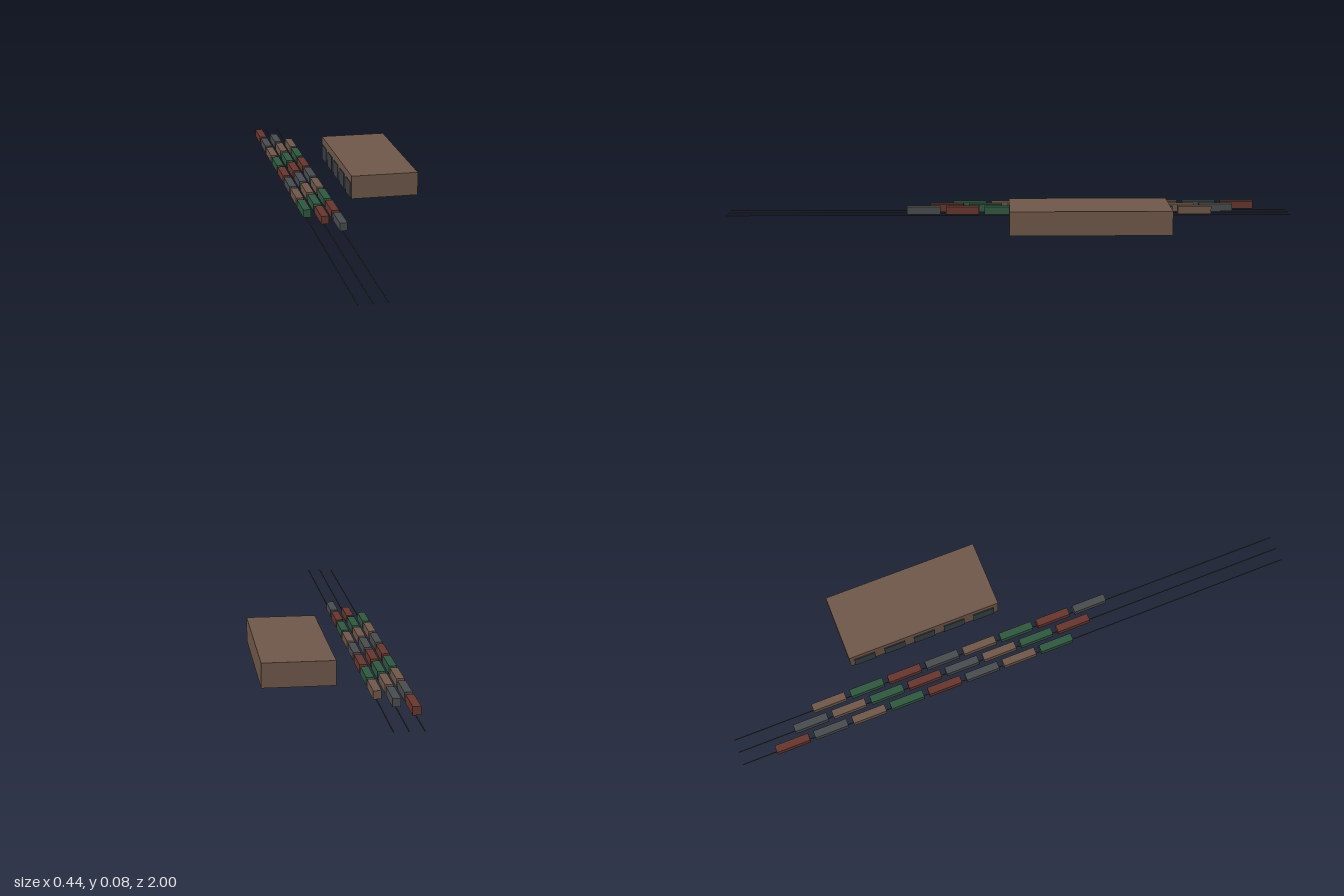
import * as THREE from 'three';

const paint = (name, color) => {
  const m = new THREE.MeshStandardMaterial({ color });
  m.name = name;
  return m;
};

export function createModel() {
  const model = new THREE.Group();
  model.name = 'freightYard';

  const red = paint('rustRed', 0x65362e);
  const grey = paint('slateGrey', 0x484b4d);
  const brown = paint('brown', 0x6e5749);
  const green = paint('darkGreen', 0x2f5740);
  const steel = paint('railSteel', 0x3c3e40);
  const doorPaint = paint('doorBlueGrey', 0x373f44);

  const box = (name, size, pos, material, parent) => {
    const mesh = new THREE.Mesh(new THREE.BoxGeometry(...size), material);
    mesh.name = name;
    mesh.position.set(...pos);
    parent.add(mesh);
  };

  // Three tracks, each a thin rail with a staggered line of eight wagons
  const liveries = [red, grey, brown, green];
  const pitch = 0.1368, length = 0.118;
  [[-0.2085, -0.879], [-0.163, -0.798], [-0.1175, -0.717]].forEach(([x, back], t) => {
    const track = new THREE.Group();
    track.name = `track${t + 1}`;
    model.add(track);
    box('rail', [0.003, 0.003, 2], [x, 0.0015, 0], steel, track);
    for (let i = 0; i < 8; i++) {
      box('wagon', [0.026, 0.027, length], [x, 0.021, back + length / 2 + i * pitch],
        liveries[(i + t) % 4], track);
    }
  });

  // Warehouse with five loading doors facing the tracks
  const shed = new THREE.Group();
  shed.name = 'warehouse';
  model.add(shed);
  box('hall', [0.236, 0.082, 0.544], [0.102, 0.041, -0.272], brown, shed);
  for (let i = 0; i < 5; i++) {
    box('loadingDoor', [0.004, 0.055, 0.075], [-0.017, 0.0275, -0.0545 - i * 0.109], doorPaint, shed);
  }

  return model;
}
